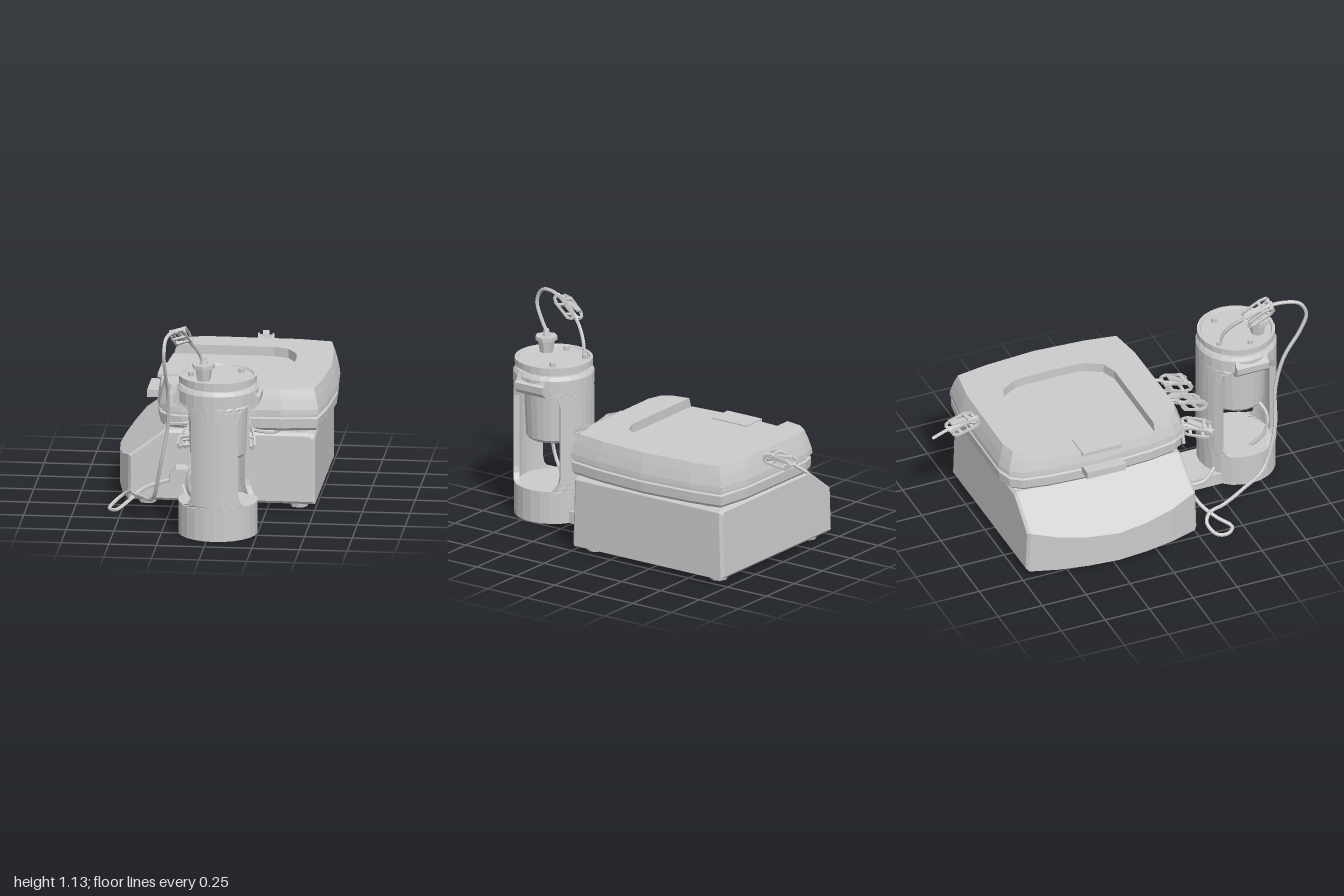
import * as THREE from 'three';

const mat = new THREE.MeshStandardMaterial({ color: 0xcccccc, flatShading: true, side: THREE.DoubleSide });

function add(parent, name, geo, x = 0, y = 0, z = 0) {
  const m = new THREE.Mesh(geo, mat);
  m.name = name;
  m.position.set(x, y, z);
  parent.add(m);
  return m;
}

// Skin a list of equal-length rings of [x, y, z] points, with fan caps at both ends.
function loft(rings, caps = true) {
  const pos = [];
  const tri = (a, b, c) => pos.push(...a, ...b, ...c);
  const n = rings[0].length;
  for (let k = 0; k < rings.length - 1; k++) {
    const a = rings[k], b = rings[k + 1];
    for (let i = 0; i < n; i++) {
      const j = (i + 1) % n;
      tri(a[i], a[j], b[j]);
      tri(a[i], b[j], b[i]);
    }
  }
  if (caps) [rings[0], rings[rings.length - 1]].forEach((r, end) => {
    const c = [0, 1, 2].map(d => r.reduce((s, p) => s + p[d], 0) / n);
    for (let i = 0; i < n; i++) {
      const j = (i + 1) % n;
      if (end) tri(c, r[i], r[j]); else tri(c, r[j], r[i]);
    }
  });
  const g = new THREE.BufferGeometry();
  g.setAttribute('position', new THREE.Float32BufferAttribute(pos, 3));
  g.computeVertexNormals();
  return g;
}

const lathe = (pts, seg = 24) => new THREE.LatheGeometry(pts.map(p => new THREE.Vector2(...p)), seg);

const polygon = pts => new THREE.Shape(pts.map(p => new THREE.Vector2(...p)));

function tube(parent, name, pts, r = 0.01, steps = 6) {
  const curve = new THREE.CatmullRomCurve3(pts.map(p => new THREE.Vector3(...p)));
  return add(parent, name, new THREE.TubeGeometry(curve, pts.length * steps, r, 6));
}

// Pinch clamp: two open side frames joined by cross bars, lying along z.
function clamp(parent, x, y, z, rx, ry = 0, rz = 0) {
  const g = new THREE.Group();
  g.name = 'tubeClamp';
  const outline = [[-0.085, -0.012], [-0.06, -0.03], [0.05, -0.03], [0.08, -0.015], [0.08, 0.015], [0.04, 0.032], [-0.06, 0.028], [-0.085, 0.012]];
  const side = polygon(outline);
  side.holes.push(new THREE.Path(outline.map(p => new THREE.Vector2(p[0] * 0.82, p[1] * 0.6)).reverse()));
  const frame = new THREE.ExtrudeGeometry(side, { depth: 0.01, bevelEnabled: false });
  frame.rotateY(-Math.PI / 2);
  for (const sx of [-0.033, 0.043]) add(g, 'clampSide', frame, sx, 0, 0);
  for (const [by, bz] of [[0, -0.08], [-0.026, -0.03], [-0.026, 0.04], [0.026, 0.03], [0, 0.075]])
    add(g, 'clampBar', new THREE.BoxGeometry(0.08, 0.01, 0.016), 0, by, bz);
  add(g, 'clampLever', new THREE.BoxGeometry(0.035, 0.01, 0.12), 0, 0.024, -0.01).rotation.x = 0.2;
  add(g, 'clampTube', new THREE.CylinderGeometry(0.011, 0.011, 0.18, 6)).rotation.x = Math.PI / 2;
  g.position.set(x, y, z);
  g.rotation.set(rx, ry, rz);
  parent.add(g);
}

function buildBase(root) {
  const g = new THREE.Group();
  g.name = 'baseUnit';
  root.add(g);
  // Housing: sections along z, bowed nose cut by a sloping face, slight draft
  const sections = [[-0.72, -0.465, 0.015], [-0.705, -0.48, 0], [-0.56, -0.525, 0], [-0.4, -0.555, 0], [-0.235, -0.57, 0],
    [-0.07, -0.555, 0], [0.09, -0.525, 0], [0.235, -0.48, 0], [0.25, -0.465, 0.015]];
  add(g, 'housing', loft(sections.map(([z, n, e]) => {
    const slopeY = 0.41 - (-0.29 - n) * 0.75;
    return [[n, 0.03 + e], [0.5 - e, 0.03 + e], [0.5 - e, 0.395 - e], [0.485 - e, 0.41 - e], [-0.29, 0.41 - e], [n, slopeY - e]]
      .map(([x, y]) => [x, y, -0.235 + (z + 0.235) * (1 - 0.07 * Math.max(0, y - 0.05))]);
  })));
  for (const x of [-0.385, 0.41]) for (const z of [0.16, -0.63])
    add(g, 'foot', new THREE.CylinderGeometry(0.052, 0.045, 0.04, 8), x, 0.02, z);
  for (const x of [-0.22, 0.42]) for (const z of [0.14, -0.6])
    add(g, 'trayMount', new THREE.CylinderGeometry(0.06, 0.06, 0.05, 8), x, 0.42, z);
  const port = add(g, 'cablePort', new THREE.CylinderGeometry(0.058, 0.068, 0.07, 8), -0.2, 0.165, 0.275);
  port.rotation.set(Math.PI / 2, Math.PI / 8, 0);
  add(g, 'dockingTongue', new THREE.BoxGeometry(0.26, 0.065, 0.43), 0.02, 0.0325, 0.345);
}

function buildTray(root) {
  const g = new THREE.Group();
  g.name = 'tray';
  g.position.z = -0.24;
  root.add(g);
  // Half outline from the right middle round to the left middle, mirrored in z
  const half = [[0.57, 0], [0.55, 0.3], [0.52, 0.485], [0.33, 0.515], [-0.2, 0.52], [-0.28, 0.495], [-0.32, 0.44], [-0.345, 0.3], [-0.365, 0]];
  const mirror = half.slice(1, -1).reverse();
  const outline = [...half.map(([x, z]) => [x, -z]), ...mirror];
  const ring = (y, s) => outline.map(([x, z]) => [0.1 + (x - 0.1) * s, y, z * s]);
  add(g, 'trayBody', loft([[0.43, 0.96], [0.445, 0.985], [0.495, 0.99], [0.5, 0.965], [0.515, 0.965],
    [0.52, 1], [0.545, 0.995], [0.6, 0.965]].map(p => ring(...p))));

  // Raised rim around a recess that is open on the left
  const s = 0.93;
  const outer = half.slice(0, 7).map(([x, z]) => [0.1 + (x - 0.1) * s, z * s]);
  const inner = [[-0.308, 0.315], [0.2, 0.315], [0.28, 0.285], [0.33, 0.2], [0.34, 0.13]];
  const upper = [...outer, ...inner];
  const lower = upper.slice(1).reverse().map(([x, z]) => [x, -z]);
  const rim = new THREE.ExtrudeGeometry(polygon([...upper, ...lower]), { depth: 0.05, bevelEnabled: false });
  rim.rotateX(-Math.PI / 2);
  const p = rim.attributes.position;
  for (let i = 0; i < p.count; i++) {
    const x = p.getX(i), z = p.getZ(i);
    if (p.getY(i) < 0.01 && (Math.abs(z) > 0.316 || x > 0.345 || x < -0.3)) {
      p.setX(i, 0.1 + (x - 0.1) * 0.965 / s);
      if (Math.abs(z) > 0.316) p.setZ(i, z * 0.965 / s);
    }
  }
  rim.computeVertexNormals();
  add(g, 'trayRim', rim, 0, 0.6, 0);

  add(g, 'latchPlate', new THREE.BoxGeometry(0.14, 0.02, 0.22), -0.295, 0.597, 0);
  add(g, 'latch', new THREE.BoxGeometry(0.08, 0.04, 0.22), -0.38, 0.5, 0);
  add(g, 'frontGrip', new THREE.BoxGeometry(0.12, 0.025, 0.03), 0.255, 0.533, 0.507);
}

function buildVessel(root) {
  const g = new THREE.Group();
  g.name = 'vesselStand';
  g.position.set(0.04, 0, 0.695);
  root.add(g);
  add(g, 'standBase', lathe([[0, 0], [0.208, 0], [0.208, 0.175], [0, 0.175]]));
  // Front and back walls leave an open window on each side
  for (const [name, dir, narrow] of [['frontWall', 0, 36], ['backWall', Math.PI, 45]]) {
    const levels = [[0.17, 60], [0.185, narrow + 8], [0.215, narrow + 2], [0.25, narrow], [0.64, narrow], [0.69, narrow + 4], [0.71, narrow + 12], [0.73, 75]];
    add(g, name, loft(levels.map(([y, deg]) => {
      const pts = [], a = deg * Math.PI / 180;
      const put = (r, t) => pts.push([r * Math.sin(t + dir), y, r * Math.cos(t + dir)]);
      for (let i = 0; i <= 8; i++) put(0.211, -a + a * i / 4);
      for (let i = 8; i >= 0; i--) put(0.18, -a + a * i / 4);
      return pts;
    }), false));
  }
  add(g, 'topRing', lathe([[0.165, 0.72], [0.213, 0.72], [0.213, 0.785], [0.2, 0.805], [0.165, 0.805], [0.165, 0.72]]));
  // Side lugs
  const lug = new THREE.ExtrudeGeometry(polygon([[0.165, 0.69], [0.2, 0.695], [0.225, 0.72], [0.228, 0.757], [0.21, 0.765], [0.195, 0.79], [0.165, 0.79]]),
    { depth: 0.18, bevelEnabled: false });
  lug.translate(0, 0, -0.09);
  add(g, 'sideLug', lug);
  add(g, 'sideLug', lug).rotation.y = Math.PI;

  add(g, 'vessel', lathe([[0, 0.42], [0.135, 0.42], [0.146, 0.435], [0.158, 0.72], [0.16, 0.8]]));
  add(g, 'collar', lathe([[0.182, 0.79], [0.182, 0.825]]));
  add(g, 'lid', lathe([[0, 0.82], [0.205, 0.82], [0.205, 0.855], [0.19, 0.855], [0.185, 0.845], [0, 0.845]]));
  for (const [x, z] of [[-0.09, -0.135], [0.115, -0.075], [-0.14, 0.02]])
    add(g, 'lidPort', new THREE.CylinderGeometry(0.016, 0.016, 0.03, 8), x, 0.852, z);
  add(g, 'lidKnob', lathe([[0.035, 0.84], [0.046, 0.91], [0.06, 0.912], [0.06, 0.932], [0.022, 0.932], [0.014, 0.968], [0, 0.968]], 7), -0.065, 0, 0.095);
}

function buildTubing(root) {
  const g = new THREE.Group();
  g.name = 'tubing';
  root.add(g);
  // Line from the lid, over through a clamp, down and looping to the port
  tube(g, 'lidLine', [[-0.05, 0.84, 0.565], [-0.065, 0.92, 0.58], [-0.1, 0.99, 0.63], [-0.14, 1.05, 0.71], [-0.165, 1.1, 0.8],
    [-0.19, 1.115, 0.88], [-0.208, 1.1, 0.95], [-0.213, 1.03, 0.985], [-0.21, 0.93, 0.95], [-0.205, 0.78, 0.86], [-0.21, 0.6, 0.81],
    [-0.25, 0.38, 0.79], [-0.3, 0.17, 0.7], [-0.37, 0.135, 0.56], [-0.43, 0.11, 0.42], [-0.455, 0.1, 0.33], [-0.5, 0.07, 0.295],
    [-0.555, 0.025, 0.33], [-0.56, 0.018, 0.39], [-0.52, 0.025, 0.43], [-0.46, 0.06, 0.37], [-0.39, 0.11, 0.31], [-0.24, 0.16, 0.285]]);
  clamp(g, -0.15, 1.065, 0.74, -0.6, -0.15, 0.25);
  // Short drain line below the vessel
  tube(g, 'drainLine', [[-0.05, 0.43, 0.78], [-0.1, 0.36, 0.81], [-0.105, 0.25, 0.79], [-0.07, 0.165, 0.72]]);
  // Line across to the base
  tube(g, 'baseLine', [[-0.12, 0.12, 0.5], [-0.17, 0.09, 0.42], [-0.16, 0.08, 0.36], [-0.2, 0.15, 0.29]]);
  // Clamped lines between tray and vessel
  for (const [x, y, ry, rz] of [[-0.14, 0.42, -0.2, 0.3], [-0.06, 0.53, 0.15, -0.1], [0.13, 0.53, 0.1, 0.1], [0.15, 0.43, 0.2, -0.4]]) {
    clamp(g, x, y, 0.395, 0.35, ry, rz);
    tube(g, 'trayLine', [[x, y + 0.03, 0.32], [x * 1.05, y + 0.045, 0.28], [x * 1.1, 0.48, 0.22]], 0.009);
  }
  tube(g, 'underLine', [[0.15, 0.46, 0.32], [0.22, 0.43, 0.28], [0.3, 0.415, 0.22], [0.32, 0.42, 0.1]], 0.009);
  tube(g, 'sideLine', [[-0.13, 0.47, 0.3], [-0.2, 0.46, 0.285], [-0.28, 0.45, 0.26]], 0.009);
  // Rear outlet
  clamp(g, 0.13, 0.612, -0.82, -0.15, 0.1);
  tube(g, 'rearLine', [[0.13, 0.59, -0.7], [0.13, 0.615, -0.82], [0.125, 0.6, -0.91], [0.12, 0.573, -0.995]], 0.009);
}

export function createModel() {
  const root = new THREE.Group();
  root.name = 'benchUnit';
  buildBase(root);
  buildTray(root);
  buildVessel(root);
  buildTubing(root);
  return root;
}
